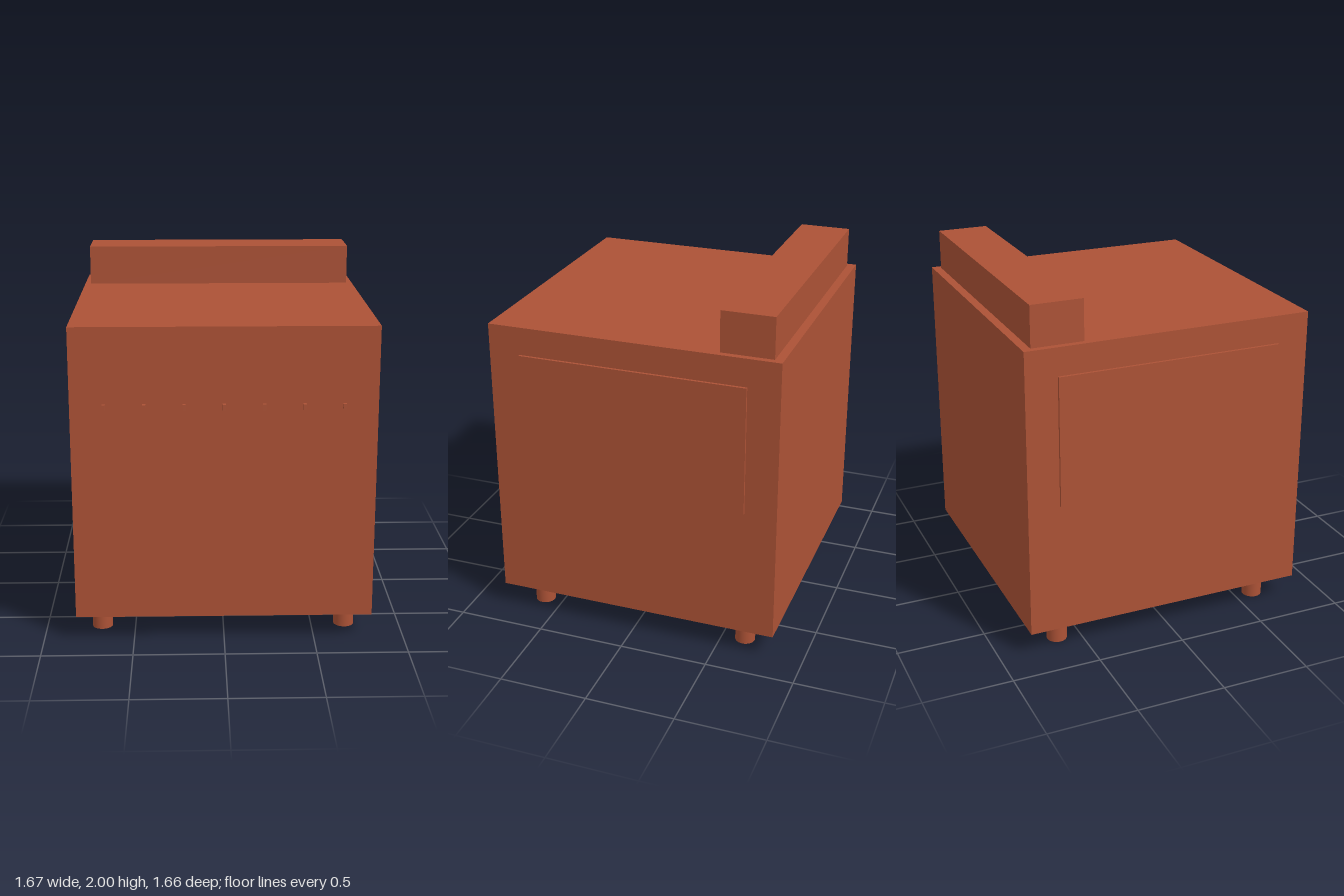
import * as THREE from 'three';

export function createModel() {
  const model = new THREE.Group();
  const rust = new THREE.MeshStandardMaterial({ color: 0xac5236 });
  rust.name = 'rust red';

  const add = (name, geometry, x, y, z) => {
    const mesh = new THREE.Mesh(geometry, rust);
    mesh.name = name;
    mesh.position.set(x, y, z);
    model.add(mesh);
  };
  // Box given by its lowest and highest corners
  const addBox = (name, [x0, y0, z0], [x1, y1, z1]) =>
    add(name, new THREE.BoxGeometry(x1 - x0, y1 - y0, z1 - z0),
      (x0 + x1) / 2, (y0 + y1) / 2, (z0 + z1) / 2);

  // Cabinet and the raised ledge along its back edge
  addBox('cabinet', [-0.82, 0.137, -0.829], [0.82, 1.772, 0.806]);
  addBox('backLedge', [-0.786, 1.772, -0.781], [0.786, 2, -0.49]);

  // Raised panels on both sides
  addBox('leftSidePanel', [0.82, 0.884, -0.65], [0.835, 1.615, 0.627]);
  addBox('rightSidePanel', [-0.835, 0.884, -0.65], [-0.82, 1.615, 0.627]);

  // Row of small control pegs across the front
  for (let i = -3; i <= 3; i++) {
    const x = i * 0.213;
    addBox('controlPeg', [x - 0.009, 1.323, 0.806], [x + 0.009, 1.357, 0.829]);
  }

  // Four round feet
  const foot = new THREE.CylinderGeometry(0.057, 0.057, 0.137, 32);
  for (const sx of [-1, 1])
    for (const sz of [-1, 1])
      add('foot', foot, sx * 0.687, 0.0685, -0.011 + sz * 0.622);

  return model;
}
